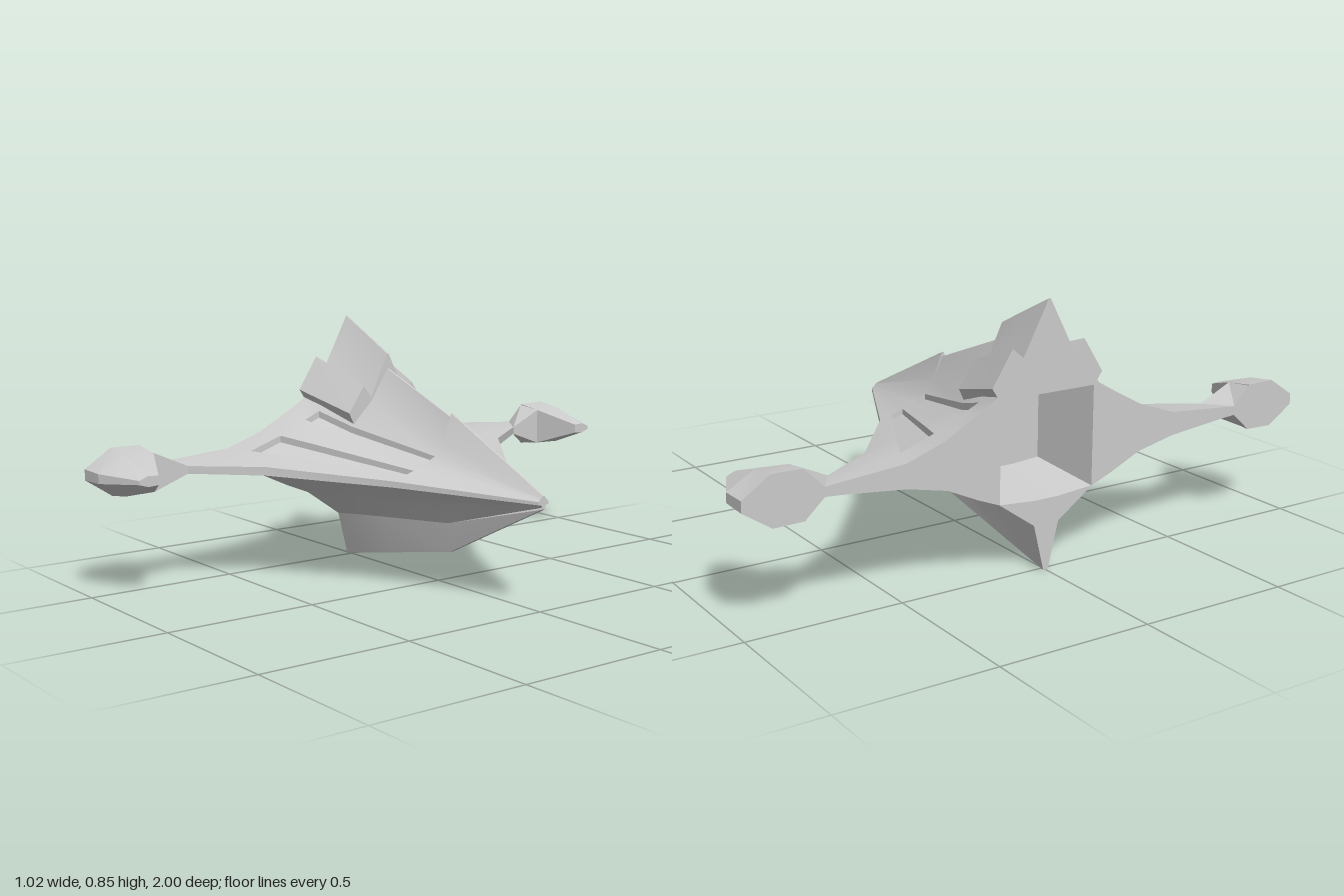
import * as THREE from 'three';
import { toCreasedNormals } from 'three/addons/utils/BufferGeometryUtils.js';

const material = new THREE.MeshStandardMaterial({ color: 0xcccccc });

// Skin over equal-length rings [x, y, z], running from rear to nose, with closed ends.
function loft(name, rings, crease) {
  const pos = [];
  const tri = (...corners) => {
    const [a, b, c] = corners.map((p) => new THREE.Vector3(...p));
    if (b.clone().sub(a).cross(c.clone().sub(a)).length() < 1e-7) return;
    for (const p of corners) pos.push(...p);
  };
  const n = rings[0].length;
  for (let i = 0; i < rings.length - 1; i++) {
    for (let j = 0; j < n; j++) {
      const k = (j + 1) % n;
      tri(rings[i][j], rings[i][k], rings[i + 1][k]);
      tri(rings[i][j], rings[i + 1][k], rings[i + 1][j]);
    }
  }
  const first = rings[0], last = rings[rings.length - 1];
  for (let j = 1; j < n - 1; j++) {
    tri(first[0], first[j + 1], first[j]);
    tri(last[0], last[j], last[j + 1]);
  }
  const geometry = new THREE.BufferGeometry();
  geometry.setAttribute('position', new THREE.Float32BufferAttribute(pos, 3));
  const mesh = new THREE.Mesh(toCreasedNormals(geometry, crease), material);
  mesh.name = name;
  return mesh;
}

// Ring at x from [z, y] pairs
const ring = (x, pts) => pts.map(([z, y]) => [x, y, z]);
const flip = (r) => r.map(([x, y, z]) => [x, y, -z]).reverse();

// Hull stations: ridge height, keel height, spine shoulder, groove edges (A inner, A outer, B inner, B outer), wing edge
const rear = { x: -0.515, peak: 0.845, keel: 0, spine: [0.09, 0.68],
  grooves: [[0.19, 0.565], [0.25, 0.53], [0.36, 0.47], [0.49, 0.425]], edge: [0.75, 0.405, 0.375] };
const strutFront = { x: -0.42, peak: 0.8, keel: 0.018, spine: [0.083, 0.645],
  grooves: [[0.185, 0.535], [0.24, 0.51], [0.34, 0.465], [0.455, 0.425]], edge: [0.69, 0.4, 0.375] };
const finFront = { x: -0.275, peak: 0.73, keel: 0.045, spine: [0.07, 0.59],
  grooves: [[0.15, 0.495], [0.2, 0.475], [0.285, 0.445], [0.38, 0.415]], edge: [0.49, 0.395, 0.367] };
const shoulder = { x: 0.07, peak: 0.55, keel: 0.11, spine: [0.035, 0.478],
  grooves: [[0.07, 0.432], [0.11, 0.41], [0.155, 0.394], [0.195, 0.382]], edge: [0.24, 0.37, 0.35] };
const nose = { x: 0.51, peak: 0.362, keel: 0.32, spine: [0.006, 0.358],
  grooves: [[0.009, 0.355], [0.012, 0.352], [0.015, 0.349], [0.018, 0.347]], edge: [0.02, 0.345, 0.335] };

// Underside curve: fraction of half width, fraction of keel depth
const belly = [[0.93, 0.01], [0.65, 0.07], [0.47, 0.15], [0.33, 0.28], [0.23, 0.36], [0.06, 0.6]];

function hullRing(s, depth = 0) {
  const [w, top, bottom] = s.edge;
  const half = [[0.003, s.peak], s.spine];
  for (const k of [0, 2]) {
    const a = s.grooves[k], b = s.grooves[k + 1];
    half.push(a, [a[0], a[1] - depth], [b[0], b[1] - depth], b);
  }
  half.push([w, top], [w, bottom]);
  for (const [u, f] of belly) half.push([u * w, bottom - (bottom - s.keel) * f]);
  half.push([Math.min(0.008, w * 0.4), s.keel]);
  const left = ring(s.x, half);
  return [...left, ...flip(left)];
}

export function createModel() {
  const model = new THREE.Group();
  model.name = 'spacecraft';

  // Hull, with an open engine bay sunk into its tail
  const tail = hullRing(rear);
  const clamp = THREE.MathUtils.clamp;
  const bayRim = tail.map(([x, y, z]) => [x, clamp(y, 0.23, 0.56), clamp(z, -0.17, 0.17)]);
  const bayEnd = bayRim.map(([, y, z]) => [-0.29, 0.4 + (y - 0.4) * 0.75, z * 0.75]);
  const depth = 0.022;
  model.add(loft('hull', [
    bayEnd, bayRim, tail,
    hullRing(strutFront), hullRing(strutFront, depth),
    hullRing(finFront, depth),
    hullRing({ ...finFront, peak: 0.68, spine: [0.07, 0.575] }, depth),
    hullRing(shoulder, depth * 0.8),
    hullRing({ ...shoulder, peak: 0.565 }),
    hullRing(nose),
  ], 0.5));

  // Paired parts, given for the +z side
  const pairs = {
    finPlate: [
      ring(-0.515, [[0.088, 0.675], [0.13, 0.71], [0.2, 0.6], [0.182, 0.572]]),
      ring(-0.275, [[0.068, 0.585], [0.1, 0.628], [0.16, 0.54], [0.142, 0.502]]),
    ],
    podStrut: [
      ring(-0.515, [[0.75, 0.405], [0.81, 0.465], [0.81, 0.32], [0.75, 0.375]]),
      ring(-0.42, [[0.69, 0.4], [0.81, 0.455], [0.81, 0.33], [0.69, 0.375]]),
    ],
    wingPod: [
      ring(-0.515, [[0.81, 0.468], [0.91, 0.47], [1, 0.41], [1, 0.375], [0.91, 0.315], [0.81, 0.317]]),
      ring(-0.42, [[0.81, 0.455], [0.91, 0.458], [1, 0.408], [1, 0.377], [0.91, 0.327], [0.81, 0.33]]),
      ring(-0.275, [[0.87, 0.41], [0.905, 0.412], [0.935, 0.4], [0.935, 0.387], [0.905, 0.378], [0.87, 0.38]]),
    ],
  };
  for (const [name, rings] of Object.entries(pairs)) {
    model.add(loft(name + 'A', rings, 0.2));
    model.add(loft(name + 'B', rings.map(flip), 0.2));
  }
  return model;
}
